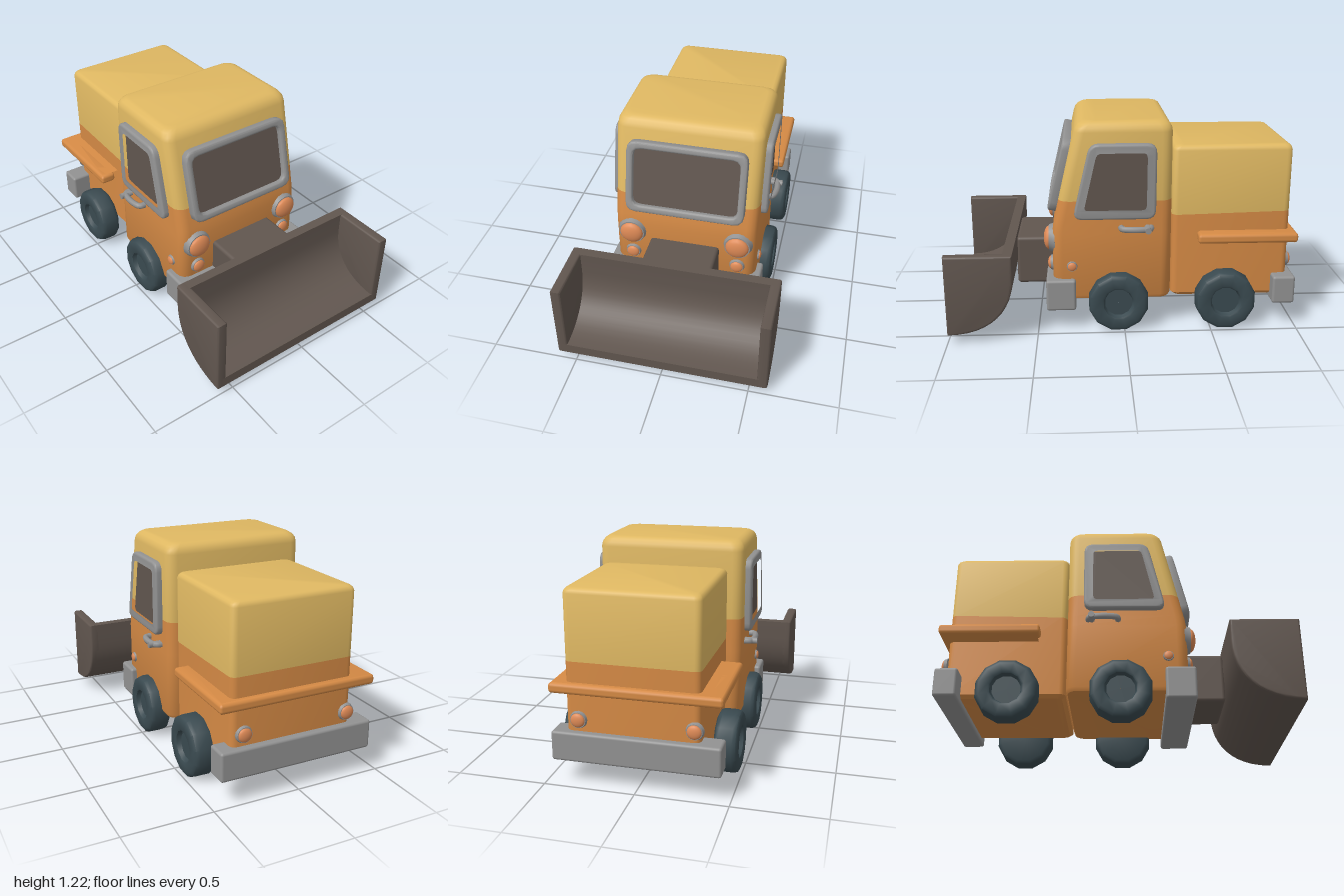
import * as THREE from 'three';
import { toCreasedNormals } from 'three/addons/utils/BufferGeometryUtils.js';
import { RoundedBoxGeometry } from 'three/addons/geometries/RoundedBoxGeometry.js';

function material(name, color, side = THREE.FrontSide) {
  const m = new THREE.MeshStandardMaterial({ color, side });
  m.name = name;
  return m;
}

// Outline with softened corners
function softPolygon(points, r, Type = THREE.Shape) {
  const path = new Type();
  const pts = points.map(p => new THREE.Vector2(...p));
  pts.forEach((p, i) => {
    const toward = q => p.clone().add(q.clone().sub(p).setLength(r));
    const a = toward(pts[(i + pts.length - 1) % pts.length]);
    const b = toward(pts[(i + 1) % pts.length]);
    if (i === 0) path.moveTo(a.x, a.y); else path.lineTo(a.x, a.y);
    path.quadraticCurveTo(p.x, p.y, b.x, b.y);
  });
  path.closePath();
  return path;
}

const rect = (w, h) => [[-w, -h], [w, -h], [w, h], [-w, h]];

// Extrusion of a total depth, centred on its own thickness
function slab(shape, depth, bevel = 0, curveSegments = 4) {
  const g = new THREE.ExtrudeGeometry(shape, {
    depth: depth - 2 * bevel, bevelEnabled: bevel > 0, bevelThickness: bevel,
    bevelSize: bevel, bevelOffset: -bevel, bevelSegments: 3, curveSegments
  });
  g.translate(0, 0, -(depth - 2 * bevel) / 2);
  return toCreasedNormals(g, 0.7);
}

// Skin through rounded rectangles; level = [y, x0, x1, z0, z1, corner radius, tilt]
function loft(levels, cap) {
  const pos = [], idx = [], steps = 5, n = 4 * steps;
  for (const [y, x0, x1, z0, z1, r, tilt = 0] of levels) {
    const corners = [[x1 - r, z1 - r], [x0 + r, z1 - r], [x0 + r, z0 + r], [x1 - r, z0 + r]];
    corners.forEach(([cx, cz], c) => {
      for (let s = 0; s < steps; s++) {
        const a = (c + s / (steps - 1)) * Math.PI / 2;
        const z = cz + r * Math.sin(a);
        pos.push(cx + r * Math.cos(a), y + tilt * (z - z1), z);
      }
    });
  }
  for (let j = 0; j < levels.length - 1; j++) {
    for (let i = 0; i < n; i++) {
      const a = j * n + i, b = j * n + (i + 1) % n;
      idx.push(a, a + n, b, a + n, b + n, b);
    }
  }
  const base = cap === 'top' ? (levels.length - 1) * n : 0;
  for (let i = 1; i < n - 1; i++) {
    if (cap === 'top') idx.push(base, base + i + 1, base + i);
    else idx.push(base, base + i, base + i + 1);
  }
  const g = new THREE.BufferGeometry();
  g.setAttribute('position', new THREE.Float32BufferAttribute(pos, 3));
  g.setIndex(idx);
  return toCreasedNormals(g, 0.7);
}

export function createModel() {
  const root = new THREE.Group();
  const yellow = material('yellow paint', 0xdfb862);
  const orange = material('orange paint', 0xd58a45);
  const grey = material('grey metal', 0x929292);
  const dark = material('dark brown', 0x61564f, THREE.DoubleSide);
  const rubber = material('blue grey rubber', 0x3a4a50);
  const amber = material('amber lens', 0xde8a56);

  function add(name, geometry, mat, x = 0, y = 0, z = 0, parent = root) {
    const m = new THREE.Mesh(geometry, mat);
    m.name = name;
    m.position.set(x, y, z);
    parent.add(m);
    return m;
  }

  // Cab: upright nose, sloping windscreen, rounded roof
  const cab = (y, front, inset = 0) =>
    [y, -0.42 + inset, 0.42 - inset, -0.27 + inset, front - inset, 0.06];
  add('cabLower', loft([cab(0.175, 0.41, 0.03), cab(0.184, 0.41, 0.009), cab(0.205, 0.41),
    cab(0.58, 0.41), cab(0.64, 0.402), cab(0.772, 0.372)], 'bottom'), orange);
  const roof = [0, 1, 2, 3, 4].map(i => {
    const a = i / 4 * Math.PI / 2;
    return cab(1.16 + 0.06 * Math.sin(a), 0.282 - 0.012 * Math.sin(a), 0.055 * (1 - Math.cos(a)));
  });
  add('cabUpper', loft([cab(0.772, 0.372), ...roof], 'top'), yellow);

  // Cargo box, set slightly to one side
  const box = (y, inset = 0, tilt = 0) =>
    [y, -0.34 + inset, 0.38 - inset, -0.952 + inset, -0.275 - inset, 0.035, tilt];
  add('cargoLower', loft([box(0.175, 0.02), box(0.195), box(0.672, 0, -0.025)], 'bottom'), orange);
  add('cargoUpper', loft([box(0.672, 0, -0.025), box(1.045), box(1.06, 0.005),
    box(1.07, 0.015), box(1.075, 0.03)], 'top'), yellow);

  // Rail wrapped around the back of the cargo box
  const rail = slab(softPolygon([[-0.46, -0.42], [-0.46, -0.99], [0.46, -0.99], [0.46, -0.42],
    [0.37, -0.42], [0.37, -0.865], [-0.37, -0.865], [-0.37, -0.42]], 0.015), 0.058, 0.02);
  add('sideRail', rail.rotateX(Math.PI / 2), orange, 0, 0.548, 0);

  // Windscreen
  const screen = new THREE.Group();
  screen.name = 'windscreen';
  screen.position.set(0, 0.89, 0.344);
  screen.rotation.x = -0.235;
  root.add(screen);
  const screenShape = softPolygon(rect(0.345, 0.215), 0.06);
  screenShape.holes.push(softPolygon(rect(0.305, 0.172), 0.045, THREE.Path));
  add('windscreenFrame', slab(screenShape, 0.06, 0.013, 3), grey, 0, 0, 0.018, screen);
  add('windscreenGlass', slab(softPolygon(rect(0.31, 0.177), 0.04), 0.008), dark, 0, 0, 0.014, screen);

  // Side windows
  const sideOuter = [[0.293, 0.672], [-0.175, 0.672], [-0.178, 1.102], [0.193, 1.102]];
  const sideInner = [[0.245, 0.715], [-0.135, 0.715], [-0.138, 1.065], [0.165, 1.065]];
  const sideShape = softPolygon(sideOuter, 0.055);
  sideShape.holes.push(softPolygon(sideInner, 0.04, THREE.Path));
  const sideFrame = slab(sideShape, 0.06, 0.013).rotateY(-Math.PI / 2);
  const sideGlass = slab(softPolygon(sideInner, 0.03), 0.008).rotateY(-Math.PI / 2);

  // Wheel with a recessed hub
  const tyre = toCreasedNormals(new THREE.LatheGeometry([
    [0, -0.065], [0.15, -0.065], [0.168, -0.055], [0.176, -0.035], [0.176, 0.035], [0.168, 0.055],
    [0.15, 0.065], [0.1, 0.065], [0.09, 0.06], [0.08, 0.035], [0.001, 0.035]
  ].map(p => new THREE.Vector2(...p)), 12, Math.PI / 12), 0.7);

  // Round lamp facing +z
  function lamp(name, x, y, z, r, turn = 0) {
    const g = new THREE.Group();
    g.name = name;
    g.position.set(x, y, z);
    g.rotation.y = turn;
    root.add(g);
    const ring = toCreasedNormals(new THREE.CylinderGeometry(r * 0.86, r, r * 0.4, 16), 0.7);
    add(name + 'Ring', ring.rotateX(Math.PI / 2), grey, 0, 0, r * 0.1, g);
    const lens = new THREE.SphereGeometry(r * 0.78, 16, 6, 0, Math.PI * 2, 0, Math.PI / 2);
    lens.rotateX(Math.PI / 2).scale(1, 1, 0.45);
    add(name + 'Lens', lens, amber, 0, 0, r * 0.3, g);
  }

  // Door handle: a bent bar with a lock barrel
  const handlePath = new THREE.CatmullRomCurve3([[0.41, 0.02], [0.45, 0.012], [0.465, -0.03],
    [0.465, -0.1], [0.45, -0.145], [0.41, -0.15]].map(([x, z]) => new THREE.Vector3(x, 0, z)));
  const handleBar = new THREE.TubeGeometry(handlePath, 20, 0.018, 8);
  const barrel = toCreasedNormals(new THREE.CylinderGeometry(0.018, 0.018, 0.08, 10), 0.7).rotateZ(Math.PI / 2);

  // Parts repeated on both sides
  for (const s of [-1, 1]) {
    const side = s > 0 ? 'left' : 'right';
    add(side + 'WindowFrame', sideFrame, grey, s * 0.427, 0, 0);
    add(side + 'WindowGlass', sideGlass, dark, s * 0.426, 0, 0);
    for (const [end, z] of [['Front', 0.035], ['Rear', -0.585]]) {
      add(side + end + 'Wheel', tyre, rubber, s * 0.424, 0.175, z).rotation.z = -s * Math.PI / 2;
    }
    const handle = new THREE.Group();
    handle.name = side + 'DoorHandle';
    handle.position.y = 0.615;
    handle.rotation.y = s > 0 ? 0 : Math.PI;
    root.add(handle);
    const bar = s > 0 ? handleBar : handleBar.clone().translate(0, 0, 0.13);
    add('handleBar', bar, grey, 0, 0, 0, handle);
    add('handleLock', barrel, grey, 0.452, 0, s > 0 ? -0.13 : 0.13, handle);
    lamp(side + 'Headlight', s * 0.315, 0.528, 0.405, 0.088);
    lamp(side + 'FrontIndicator', s * 0.315, 0.375, 0.41, 0.048);
    lamp(side + 'SideIndicator', s * 0.42, 0.386, 0.3, 0.032, s * Math.PI / 2);
    lamp(side + 'RearLight', s * 0.31, 0.375, -0.952, 0.05, Math.PI);
  }

  // Bumpers
  add('frontBumper', new RoundedBoxGeometry(0.91, 0.185, 0.17, 3, 0.015), grey, 0, 0.2175, 0.365);
  add('rearBumper', new RoundedBoxGeometry(0.91, 0.165, 0.13, 3, 0.015), grey, 0, 0.2275, -0.925);

  // Bucket and its mounting block
  add('bucketMount', new RoundedBoxGeometry(0.41, 0.29, 0.25, 3, 0.02), dark, 0, 0.345, 0.505);
  const scoop = new THREE.Shape();
  scoop.moveTo(0.625, 0.52);
  scoop.lineTo(0.625, 0.4);
  scoop.bezierCurveTo(0.625, 0.2, 0.75, 0.055, 1, 0.055);
  const panel = scoop.clone();
  panel.lineTo(1, 0.52);
  scoop.lineTo(1, 0.115);
  scoop.bezierCurveTo(0.8, 0.115, 0.68, 0.23, 0.68, 0.4);
  scoop.lineTo(0.68, 0.52);
  add('bucketScoop', slab(scoop, 1.14, 0, 12).rotateY(-Math.PI / 2), dark);
  const bucketSide = slab(panel, 0.06, 0.012, 12).rotateY(-Math.PI / 2);
  for (const s of [-1, 1]) add(s > 0 ? 'bucketLeftSide' : 'bucketRightSide', bucketSide, dark, s * 0.575, 0, 0);

  return root;
}
